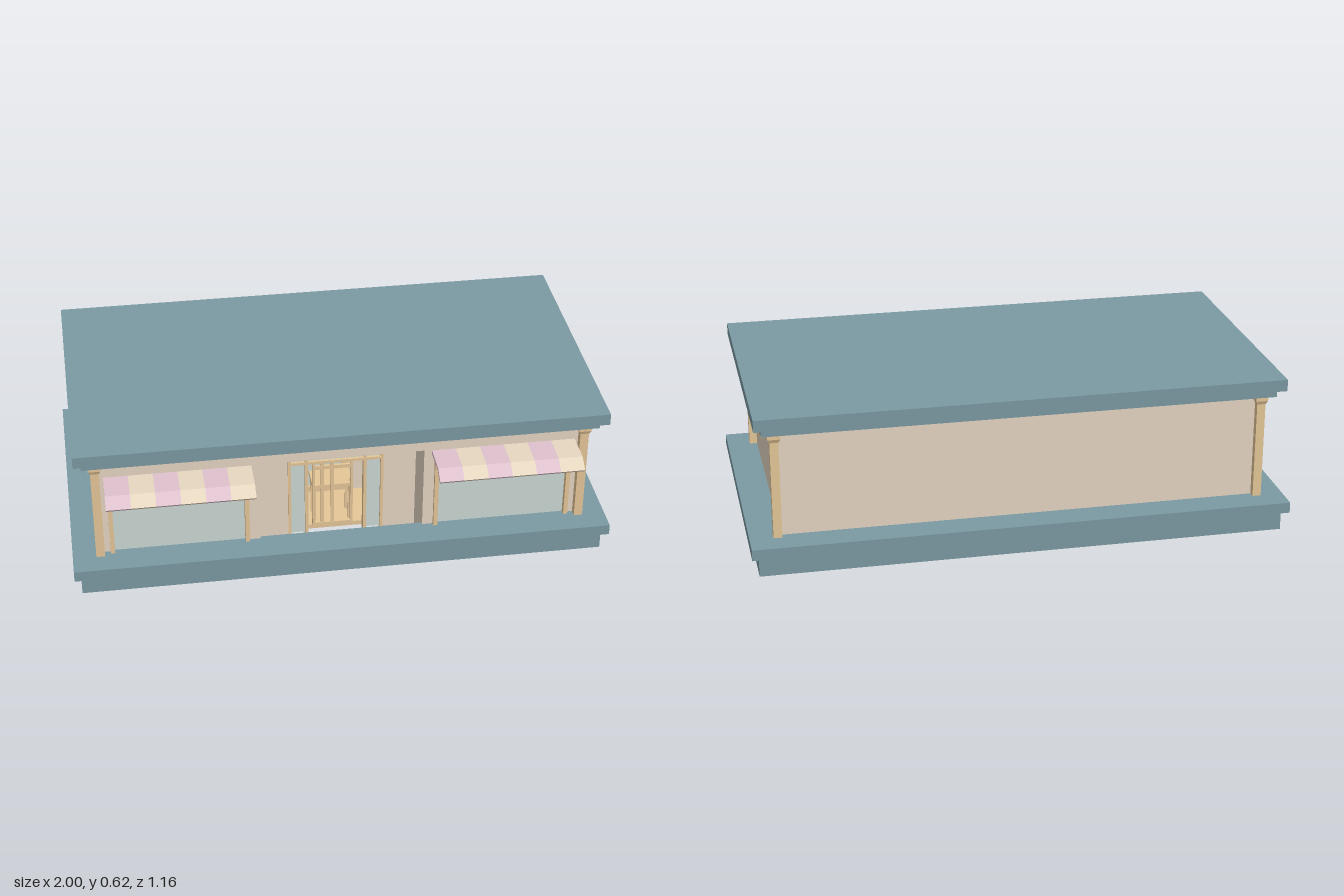
import * as THREE from 'three';

const mat = (name, color, side = THREE.FrontSide) => {
  const m = new THREE.MeshStandardMaterial({ color, side });
  m.name = name;
  return m;
};

export function createModel() {
  const model = new THREE.Group();
  const slate = mat('slate', 0x7b9aa3, THREE.DoubleSide);
  const plaster = mat('plaster', 0xe5d5c3);
  const wood = mat('wood', 0xe5c798);
  const glass = mat('glass', 0xcbd8d4);
  const pink = mat('awningPink', 0xdfc2ce);
  const cream = mat('awningCream', 0xe8d8c2);
  const CZ = -0.026; // centre of the building in z

  const add = (name, geo, material, parent = model) => {
    const m = new THREE.Mesh(geo, material);
    m.name = name;
    parent.add(m);
    return m;
  };
  // box given by its limits
  const box = (name, x0, x1, y0, y1, z0, z1, material, parent) => {
    const m = add(name, new THREE.BoxGeometry(Math.abs(x1 - x0), y1 - y0, z1 - z0), material, parent);
    m.position.set((x0 + x1) / 2, (y0 + y1) / 2, (z0 + z1) / 2);
    return m;
  };
  const rect = (x0, x1, y0, y1, C = THREE.Shape) =>
    new C([[x0, y0], [x1, y0], [x1, y1], [x0, y1]].map(p => new THREE.Vector2(...p)));
  const extrude = (shape, depth) => new THREE.ExtrudeGeometry(shape, { depth, bevelEnabled: false });
  // rectangular ring lying flat, as a shape
  const ringShape = (ox, oz, ix, iz) => {
    const s = rect(-ox, ox, -oz, oz);
    s.holes.push(rect(-ix, ix, -iz, iz, THREE.Path));
    return s;
  };
  const layFlat = (name, geo, y) =>
    add(name, geo.rotateX(-Math.PI / 2), slate).position.set(0, y, CZ);
  // upright rectangular frame facing z, centred at z
  const frame = (name, x0, x1, y0, y1, w, z, d, parent) => {
    const s = rect(x0, x1, y0, y1);
    s.holes.push(rect(x0 + w, x1 - w, y0 + w, y1 - w, THREE.Path));
    const m = add(name, extrude(s, d), wood, parent);
    m.position.z = z - d / 2;
    return m;
  };

  // hollow plinth, open from below, with a thin ledge on top
  layFlat('plinthSkirt', extrude(ringShape(0.975, 0.525, 0.969, 0.519), 0.076), 0.018);
  layFlat('plinthRim', extrude(ringShape(1, 0.551, 0.969, 0.519), 0.041), 0.094);
  layFlat('plinthLedge', new THREE.ShapeGeometry(ringShape(0.969, 0.519, 0.875, 0.43)), 0.135);

  // flat roof
  box('roofCornice', -0.945, 0.945, 0.54, 0.572, CZ - 0.495, CZ + 0.495, slate);
  box('roofSlab', -0.973, 0.973, 0.572, 0.616, CZ - 0.525, CZ + 0.525, slate);

  // back wall
  box('backWall', -0.885, 0.885, 0.02, 0.54, -0.465, -0.45, plaster);

  for (const s of [-1, 1]) {
    const side = s > 0 ? 'left' : 'right';
    // side wall with hoods outside and windows inside
    box(side + 'SideWall', s * 0.87, s * 0.885, 0.02, 0.54, -0.465, 0.415, plaster);
    for (const z of [0.197, -0.25]) {
      const hood = new THREE.Shape([[-0.112, 0.54], [-0.077, 0.457], [0.077, 0.457], [0.112, 0.54]]
        .map(p => new THREE.Vector2(...p)));
      const h = add(side + 'Hood', extrude(hood, 0.05).rotateY(Math.PI / 2), wood);
      h.position.set(s > 0 ? 0.882 : -0.932, 0, z);

      const win = new THREE.Group();
      win.name = side + 'InnerWindow';
      frame('innerWindowFrame', -0.09, 0.09, 0.2, 0.5, 0.018, 0, 0.02, win);
      box('innerWindowSill', -0.1, 0.1, 0.19, 0.205, -0.01, 0.022, wood, win);
      box('innerWindowPane', -0.08, 0.08, 0.21, 0.49, -0.006, 0.002, glass, win);
      win.position.set(s * 0.862, 0, z);
      win.rotation.y = -s * Math.PI / 2;
      model.add(win);
    }

    // front wing with shop window
    const x0 = s > 0 ? 0.345 : -0.86, x1 = s > 0 ? 0.86 : -0.345;
    const wing = rect(s > 0 ? 0.305 : -0.885, s > 0 ? 0.885 : -0.305, 0.02, 0.54);
    wing.holes.push(rect(x0, x1, 0.1, 0.42, THREE.Path));
    add(side + 'FrontWall', extrude(wing, 0.015), plaster).position.z = 0.4;
    frame(side + 'ShopWindowFrame', x0, x1, 0.1, 0.425, 0.016, 0.407, 0.044);
    box(side + 'ShopWindowPane', x0 + 0.01, x1 - 0.01, 0.11, 0.415, 0.4, 0.408, glass);

    // entrance recess return and wall beside the door
    box(side + 'RecessReturn', s * 0.305, s * 0.317, 0.02, 0.54, 0.26, 0.41, plaster);
    box(side + 'DoorSideWall', s * 0.18, s * 0.317, 0.02, 0.54, 0.248, 0.26, plaster);

    // sidelight
    box(side + 'SidelightPane', s * 0.11, s * 0.175, 0.03, 0.345, 0.25, 0.256, glass);
    box(side + 'DoorPost', s * 0.105, s * 0.117, 0.02, 0.42, 0.24, 0.268, wood);
    box(side + 'OuterDoorPost', s * 0.17, s * 0.181, 0.02, 0.42, 0.24, 0.268, wood);

    // corner columns
    for (const z of [0.427, -0.474]) {
      const column = new THREE.Group();
      column.name = side + 'Column';
      column.position.set(s * 0.898, 0, z);
      box('columnFoot', -0.023, 0.023, 0.01, 0.03, -0.023, 0.023, wood, column);
      box('columnShaft', -0.016, 0.016, 0.03, 0.515, -0.016, 0.016, wood, column);
      const taper = add('columnNeck', new THREE.CylinderGeometry(0.032, 0.023, 0.014, 4, 1)
        .rotateY(Math.PI / 4).toNonIndexed(), wood, column);
      taper.geometry.computeVertexNormals();
      taper.position.y = 0.51;
      box('columnCapital', -0.023, 0.023, 0.517, 0.54, -0.023, 0.023, wood, column);
      model.add(column);
    }

    // striped awning, bent down at the front
    const profile = [[0.41, 0.453], [0.528, 0.453], [0.572, 0.427], [0.58, 0.437], [0.533, 0.466], [0.41, 0.466]];
    const stripes = 6, sw = 0.536 / stripes, start = s > 0 ? 0.333 : -0.869;
    for (let i = 0; i < stripes; i++) {
      const g = extrude(new THREE.Shape(profile.map(p => new THREE.Vector2(...p))), sw).rotateY(-Math.PI / 2);
      add(side + 'AwningStripe', g, i % 2 ? cream : pink).position.x = start + (i + 1) * sw;
    }
  }

  // header over the recess and above the door
  box('recessHeader', -0.305, 0.305, 0.468, 0.54, 0.4, 0.415, plaster);
  box('doorHeader', -0.18, 0.18, 0.42, 0.54, 0.248, 0.26, plaster);

  // transom with three panes
  box('transomPane', -0.175, 0.175, 0.35, 0.415, 0.25, 0.256, glass);
  for (const y of [0.345, 0.41]) box('transomRail', -0.18, 0.18, y, y + 0.011, 0.241, 0.267, wood);

  // open door lattice
  frame('doorFrame', -0.08, 0.075, 0.02, 0.325, 0.01, 0.2, 0.015);
  for (const x of [-0.042, -0.004]) box('doorMullion', x - 0.006, x + 0.006, 0.025, 0.32, 0.194, 0.206, wood);
  box('doorRail', -0.08, 0.075, 0.275, 0.29, 0.195, 0.205, wood);

  // small table inside the entrance
  box('tableTop', -0.08, 0.075, 0.188, 0.202, 0.1, 0.205, wood);
  for (const x of [-0.07, 0.065]) for (const z of [0.11, 0.185])
    box('tableLeg', x - 0.005, x + 0.005, 0.018, 0.188, z - 0.005, z + 0.005, wood);

  // entrance floor and wall behind, with its glazed inner door
  box('entranceFloor', -0.223, 0.22, 0, 0.018, -0.022, 0.2, wood);
  const rear = rect(-0.3, 0.3, 0.02, 0.54);
  rear.holes.push(rect(-0.11, 0.085, 0.03, 0.34, THREE.Path));
  add('rearWall', extrude(rear, 0.012), plaster).position.z = -0.026;
  frame('rearDoorFrame', -0.115, 0.09, 0.025, 0.345, 0.024, -0.02, 0.03);
  box('rearDoorPane', -0.1, 0.075, 0.04, 0.33, -0.024, -0.016, glass);

  return model;
}
